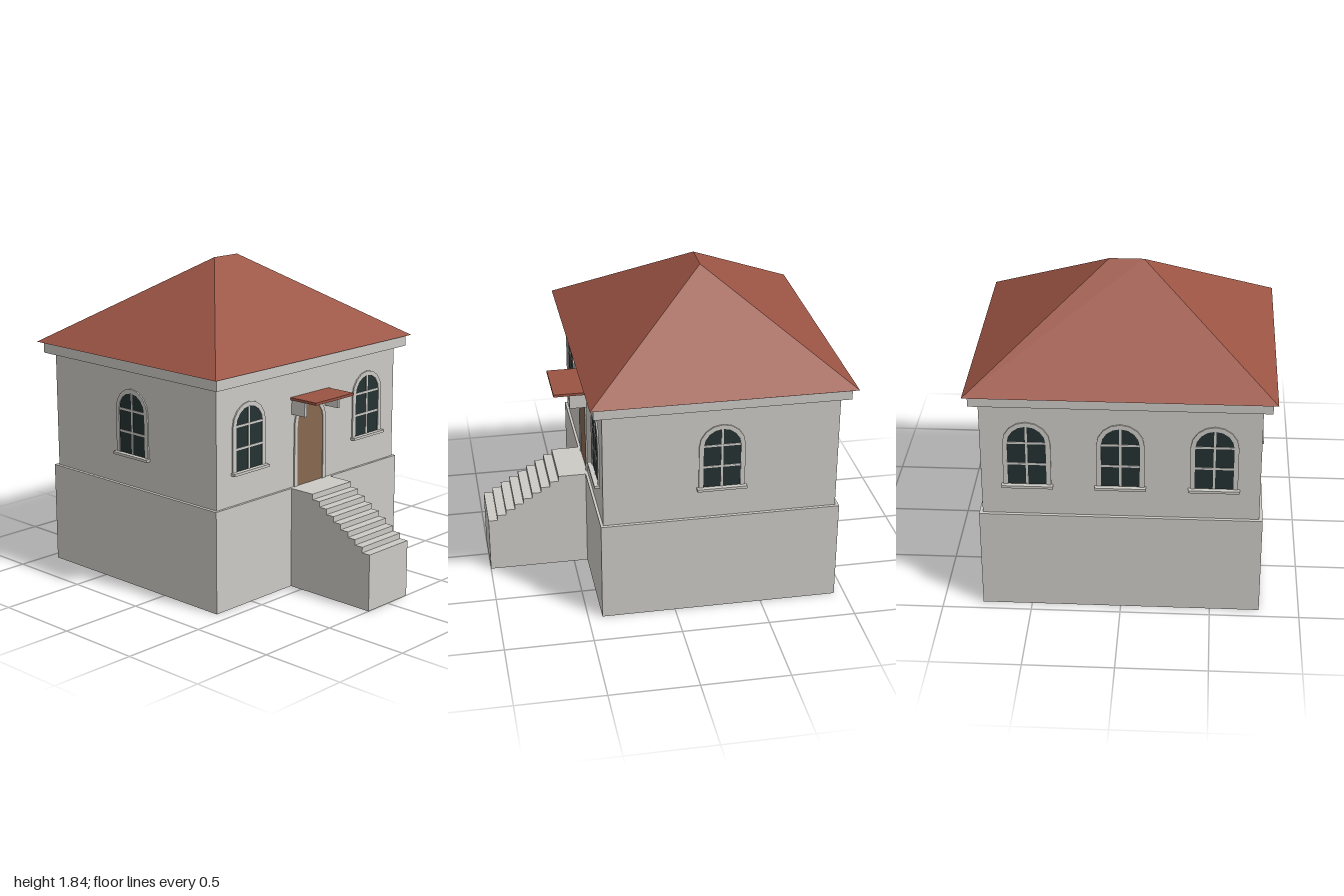
import * as THREE from 'three';

const mat = (name, color, side = THREE.FrontSide) =>
  Object.assign(new THREE.MeshStandardMaterial({ color, side }), { name });

export function createModel() {
  const house = new THREE.Group();
  house.name = 'house';
  const plaster = mat('plaster', 0xcccac5, THREE.DoubleSide);
  const tile = mat('roofTile', 0x9a5343);
  const wood = mat('doorWood', 0x886850);
  const glass = mat('darkGlass', 0x243131);

  const add = (name, geometry, material, parent = house) => {
    const mesh = new THREE.Mesh(geometry, material);
    mesh.name = name;
    parent.add(mesh);
    return mesh;
  };

  // Box given by its limits; omitted faces are numbered +x -x +y -y +z -z
  const box = (x0, x1, y0, y1, z0, z1, omit = []) => {
    const g = new THREE.BoxGeometry(x1 - x0, y1 - y0, z1 - z0);
    g.translate((x0 + x1) / 2, (y0 + y1) / 2, (z0 + z1) / 2);
    g.setIndex([...g.index.array].filter((_, i) => !omit.includes(Math.floor(i / 6))));
    g.clearGroups();
    return g;
  };

  // Points of a round-headed opening, from lower right over the arch to lower left
  const archPoints = (r, bottom, spring, segments = 8) => {
    const points = [new THREE.Vector2(r, bottom)];
    for (let i = 0; i <= segments; i++) {
      const a = (Math.PI * i) / segments;
      points.push(new THREE.Vector2(r * Math.cos(a), spring + r * Math.sin(a)));
    }
    points.push(new THREE.Vector2(-r, bottom));
    return points;
  };
  const plate = (points, depth) =>
    new THREE.ExtrudeGeometry(new THREE.Shape(points), { depth, bevelEnabled: false });
  const archFrame = (outer, inner, bottom, spring, depth) =>
    plate([...archPoints(outer, bottom, spring), ...archPoints(inner, bottom, spring).reverse()], depth);

  // Hollow plinth, storey and cornice
  const mid = -0.26;
  add('plinth', box(-0.777, 0.777, 0, 0.59, -0.94, 0.42, [3]), plaster);
  add('walls', box(-0.758, 0.758, 0.59, 1.275, -0.92, 0.405, [3]), plaster);
  add('cornice', box(-0.806, 0.806, 1.275, 1.34, -0.968, 0.457), plaster);

  // Hipped roof: four slopes and the underside
  const X = 0.832, Y = 1.34, R = 0.095, T = 1.835;
  const a = [-X, Y, 0.477], b = [X, Y, 0.477], c = [X, Y, -1], d = [-X, Y, -1];
  const l = [-R, T, mid], r = [R, T, mid];
  const faces = [a, b, r, a, r, l, b, c, r, c, d, l, c, l, r, d, a, l, a, d, c, a, c, b];
  const roof = new THREE.BufferGeometry();
  roof.setAttribute('position', new THREE.Float32BufferAttribute(faces.flat(), 3));
  roof.computeVertexNormals();
  add('roof', roof, tile);

  // Landing and stairs
  const halfStair = 0.168, steps = 8, tread = 0.0525, rise = 0.0325;
  add('landing', box(-halfStair, halfStair, 0, 0.59, 0.42, 0.58, [3, 5]), plaster);
  const profile = [new THREE.Vector2(0.58, 0), new THREE.Vector2(1, 0)];
  for (let i = 0; i < steps; i++) {
    const y = 0.33 + i * rise;
    profile.push(new THREE.Vector2(1 - i * tread, y), new THREE.Vector2(1 - (i + 1) * tread, y));
  }
  const stairs = plate(profile, halfStair * 2);
  stairs.rotateY(-Math.PI / 2).translate(halfStair, 0, 0);
  add('stairs', stairs, plaster);

  // Door with arched surround
  const door = new THREE.Group();
  door.name = 'entrance';
  door.position.z = 0.405;
  house.add(door);
  add('door', plate(archPoints(0.11, 0.59, 0.953), 0.003), wood, door);
  add('doorFrame', archFrame(0.134, 0.11, 0.59, 0.953, 0.008), plaster, door);

  // Canopy on two brackets
  add('canopy', box(-0.163, 0.163, 1.105, 1.12, 0.405, 0.595), tile);
  for (const s of [-1, 1])
    add('canopyBracket', box(s * 0.143 - 0.01, s * 0.143 + 0.01, 1.02, 1.105, 0.405, 0.503), plaster);

  // Arched windows with glazing bars and sills
  const addWindow = (x, z, turn) => {
    const w = new THREE.Group();
    w.name = 'window';
    w.position.set(x, 0, z);
    w.rotation.y = turn;
    add('pane', plate(archPoints(0.105, 0.78, 1.033), 0.003), glass, w);
    add('windowFrame', archFrame(0.13, 0.105, 0.78, 1.033, 0.008), plaster, w);
    add('mullion', box(-0.006, 0.006, 0.78, 1.136, 0, 0.006), plaster, w);
    for (const y of [0.907, 1.036])
      add('glazingBar', box(-0.104, 0.104, y - 0.006, y + 0.006, 0, 0.006), plaster, w);
    add('sill', box(-0.14, 0.14, 0.765, 0.78, 0, 0.03), plaster, w);
    house.add(w);
  };
  for (const x of [-0.506, 0.506]) addWindow(x, 0.405, 0);
  for (const x of [-0.506, 0, 0.506]) addWindow(x, -0.92, Math.PI);
  for (const s of [-1, 1]) addWindow(s * 0.758, mid, (s * Math.PI) / 2);

  return house;
}
